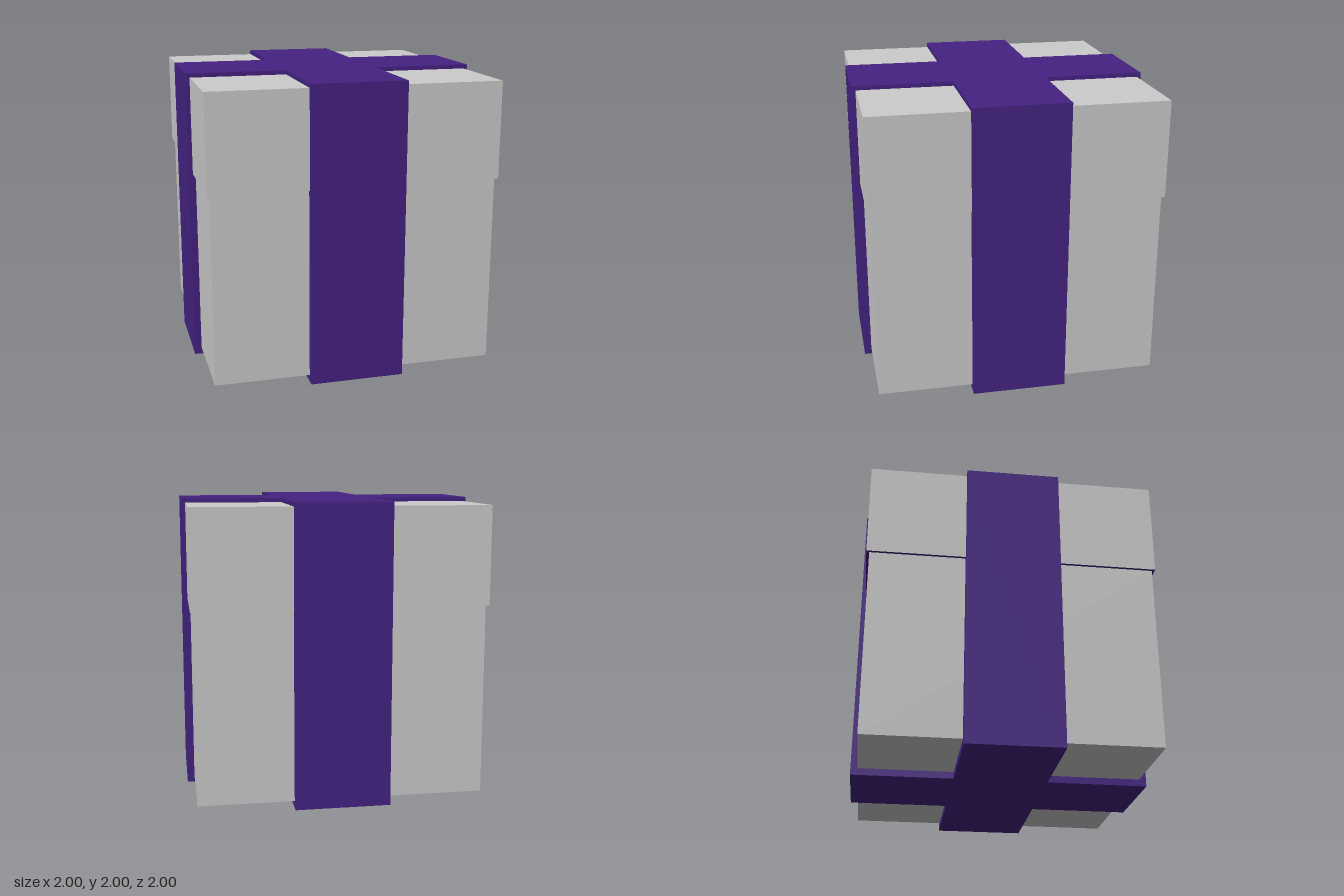
import * as THREE from 'three';

const grey = new THREE.MeshStandardMaterial({ color: 0xcccccc });
const purple = new THREE.MeshStandardMaterial({ color: 0x452283 });

// Square block between two heights
function block(name, width, y0, y1, material) {
  const mesh = new THREE.Mesh(new THREE.BoxGeometry(width, y1 - y0, width), material);
  mesh.position.y = (y0 + y1) / 2;
  mesh.name = name;
  return mesh;
}

export function createModel() {
  const group = new THREE.Group();
  group.name = 'giftBox';

  // Box body, and a slightly wider lid with a coloured underside
  group.add(block('boxBody', 1.905, 0.047, 1.32, grey));
  group.add(block('lid', 1.943, 1.32, 1.972, [grey, grey, grey, purple, grey, grey]));

  // Crossed ribbons: one plus-shaped outline raised to full height
  const w = 0.317;
  const outline = new THREE.Shape();
  for (let i = 0; i < 4; i++) {
    const c = Math.round(Math.cos(i * Math.PI / 2));
    const s = Math.round(Math.sin(i * Math.PI / 2));
    for (const [x, y] of [[w, -w], [1, -w], [1, w]]) {
      const px = x * c - y * s, py = x * s + y * c;
      if (i === 0 && x === w) outline.moveTo(px, py);
      else outline.lineTo(px, py);
    }
  }
  outline.closePath();
  const geometry = new THREE.ExtrudeGeometry(outline, { depth: 2, bevelEnabled: false });
  geometry.rotateX(-Math.PI / 2);
  const ribbon = new THREE.Mesh(geometry, purple);
  ribbon.name = 'ribbon';
  group.add(ribbon);

  return group;
}
